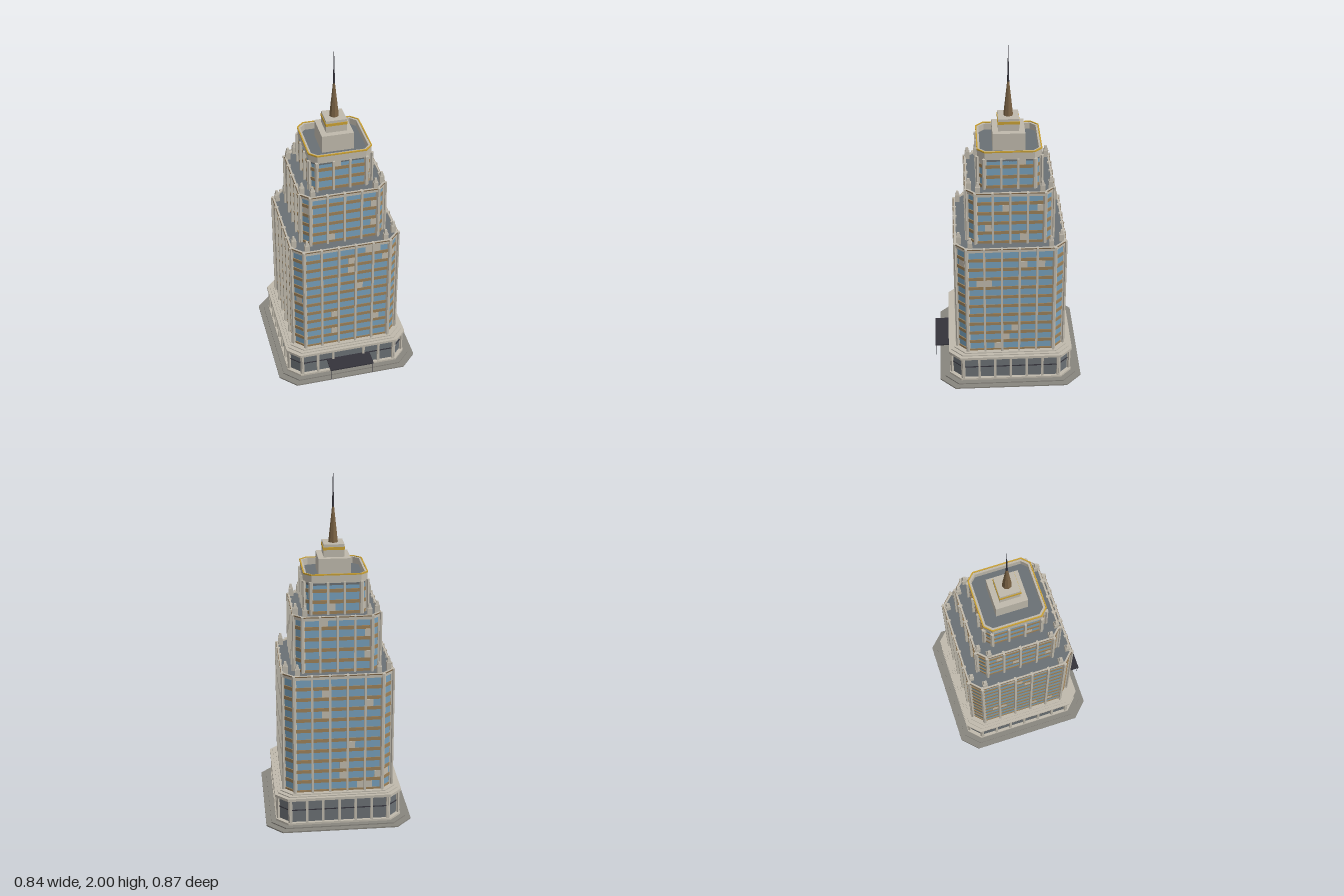
import * as THREE from 'three';

const mat = (name, color) => {
  const m = new THREE.MeshStandardMaterial({ color });
  m.name = name;
  return m;
};

export function createModel() {
  const stone = mat('pale stone', 0xbfb9ac);
  const paving = mat('grey paving', 0x88857e);
  const slate = mat('slate', 0x6a7074);
  const glass = mat('blue glass', 0x769fba);
  const bronze = mat('bronze spandrel', 0x9c8058);
  const darkBronze = mat('dark bronze', 0x7a6244);
  const gold = mat('gold', 0xc9a034);
  const dark = mat('dark metal', 0x34333b);

  const model = new THREE.Group();
  model.name = 'tower';
  const body = new THREE.Group();
  body.name = 'building';
  body.position.z = -0.0175;
  model.add(body);

  const add = (parent, name, geo, material, x, y, z) => {
    const m = new THREE.Mesh(geo, material);
    m.name = name;
    m.position.set(x, y, z);
    parent.add(m);
    return m;
  };
  const box = (parent, name, w, h, d, material, x, y, z) =>
    add(parent, name, new THREE.BoxGeometry(w, h, d), material, x, y, z);

  // Square with chamfered corners: half width h, chamfer c
  const outline = (h, c) => {
    const points = [];
    for (let k = 0; k < 4; k++) {
      for (const y of [c - h, h - c]) {
        points.push(new THREE.Vector2(h, y).rotateAround(new THREE.Vector2(), k * Math.PI / 2));
      }
    }
    return points;
  };
  // Chamfered slab, or a ring when an inner half width is given
  const prism = (name, h, c, y0, y1, material, inner = 0) => {
    const shape = new THREE.Shape(outline(h, c));
    if (inner) shape.holes.push(new THREE.Path(outline(inner, c - (h - inner) * 0.586)));
    const geo = new THREE.ExtrudeGeometry(shape, { depth: y1 - y0, bevelEnabled: false });
    add(body, name, geo.rotateX(-Math.PI / 2), material, 0, y0, 0);
  };

  // Calls fn(group, face index, half length) for 8 walls; local +z points outwards
  const eachFace = (name, h, c, fn) => {
    for (let i = 0; i < 8; i++) {
      const diagonal = i % 2 === 1;
      const a = i * Math.PI / 4;
      const r = diagonal ? (2 * h - c) / Math.SQRT2 : h;
      const g = new THREE.Group();
      g.name = name;
      g.rotation.y = a;
      g.position.set(Math.sin(a) * r, 0, Math.cos(a) * r);
      body.add(g);
      fn(g, i, diagonal ? c / Math.SQRT2 : h - c);
    }
  };

  // Stepped paving and podium
  prism('lowerStep', 0.42, 0.09, 0, 0.008, paving);
  prism('upperStep', 0.39, 0.08, 0.008, 0.015, paving);
  prism('plinth', 0.362, 0.067, 0.015, 0.027, stone);
  prism('podiumWall', 0.345, 0.065, 0.027, 0.17, slate);
  prism('podiumCornice', 0.365, 0.068, 0.168, 0.184, stone);
  prism('podiumLedge', 0.348, 0.066, 0.184, 0.19, stone);
  prism('podiumUpperLedge', 0.332, 0.066, 0.19, 0.196, stone);
  eachFace('podiumFace', 0.345, 0.065, (g, i, half) => {
    const bays = i % 2 ? 1 : 6;
    for (let k = 0; k <= bays; k++) {
      if (i === 0 && k === 3) continue; // leave room for the door
      box(g, 'podiumPilaster', 0.014, 0.142, 0.02, stone, (k / bays * 2 - 1) * half, 0.098, 0.004);
    }
    box(g, 'podiumRail', half * 2, 0.005, 0.006, dark, 0, 0.103, 0.001);
  });

  // Entrance and canopy
  box(body, 'doorFrame', 0.15, 0.07, 0.012, dark, 0, 0.06, 0.348);
  for (const s of [-1, 1]) {
    box(body, 'doorLeaf', 0.052, 0.052, 0.008, stone, s * 0.028, 0.053, 0.353);
    const post = new THREE.CylinderGeometry(0.0015, 0.0015, 0.075, 6);
    add(body, 'canopyPost', post, dark, s * 0.125, 0.0645, 0.442);
  }
  box(body, 'canopy', 0.264, 0.008, 0.1, dark, 0, 0.104, 0.3975);

  // One tier: glass core, spandrels per storey, pilasters per bay, some pale panes.
  // lit maps a face index to [pane column, storey] pairs, two columns per bay.
  const storey = 0.0636;
  const tier = (h, c, y0, y1, firstBand, storeys, bayCount, span, lit) => {
    prism('glassWall', h, c, y0, y1 - 0.02, glass);
    for (let f = 0; f < storeys; f++) {
      const y = firstBand + f * storey;
      prism('spandrel', h + 0.004, c, y - 0.01, y + 0.01, bronze, h - 0.01);
    }
    eachFace('tierFace', h, c, (g, i, half) => {
      const bays = i % 2 ? 1 : bayCount;
      const reach = i % 2 ? half : span;
      for (let k = 0; k <= bays; k++) {
        box(g, 'pilaster', 0.012, y1 - y0, 0.024, stone, (k / bays * 2 - 1) * reach, (y0 + y1) / 2, 0.006);
      }
      // Opposite faces repeat the pattern upside down
      const flip = i > 2 && i < 7;
      for (const [column, f] of lit[flip ? i - 4 : i] ?? []) {
        const row = flip ? storeys - 1 - f : f;
        const x = i % 2 ? 0 : ((column + 0.5) / bays - 1) * reach;
        box(g, 'palePane', 0.038, 0.042, 0.006, stone, x, firstBand + (row + 0.5) * storey, 0.001);
      }
    });
  };

  // Roof, parapet and paired corner pinnacles on a setback
  const setback = (h, c, y, px, pz) => {
    prism('roof', h, c, y - 0.025, y - 0.01, slate);
    prism('parapet', h + 0.01, c + 0.006, y - 0.024, y, stone, h);
    prism('parapetTrim', h + 0.012, c + 0.006, y - 0.007, y - 0.002, darkBronze, h + 0.005);
    for (const sx of [-1, 1]) for (const sz of [-1, 1]) for (const [x, z] of [[px, pz], [pz, px]]) {
      box(body, 'pinnacleBase', 0.027, 0.05, 0.027, stone, sx * x, y + 0.01, sz * z);
      const cap = new THREE.CylinderGeometry(0.008, 0.015, 0.025, 4, 1).toNonIndexed();
      cap.rotateY(Math.PI / 4).computeVertexNormals();
      add(body, 'pinnacleCap', cap, stone, sx * x, y + 0.0475, sz * z);
    }
  };

  tier(0.305, 0.06, 0.19, 0.915, 0.198, 11, 5, 0.25, {
    0: [[5, 9], [5, 8], [6, 6], [3, 3], [3, 1], [8, 2], [7, 10], [8, 10], [9, 9]],
    1: [[0, 9]],
    2: [[1, 7], [2, 7], [3, 0], [4, 1], [5, 2], [6, 9], [8, 9]],
    7: [[0, 5]],
  });
  setback(0.305, 0.06, 0.915, 0.291, 0.2285);
  tier(0.236, 0.048, 0.9, 1.235, 0.91, 5, 4, 0.195, {
    0: [[7, 3], [7, 1], [2, 0]],
    2: [[3, 3], [7, 3], [1, 1], [5, 0]],
    7: [[0, 3]],
  });
  setback(0.236, 0.048, 1.235, 0.228, 0.179);
  tier(0.17, 0.034, 1.222, 1.412, 1.232, 3, 3, 0.14, {
    0: [[2, 2]],
    1: [[0, 2]],
    2: [[4, 2]],
  });

  // Crown with an open parapet and gold rim
  prism('crownRoof', 0.17, 0.034, 1.39, 1.415, slate);
  prism('crownParapet', 0.177, 0.04, 1.405, 1.453, stone, 0.162);
  prism('crownRim', 0.18, 0.041, 1.449, 1.457, gold, 0.173);
  box(body, 'crownBlock', 0.18, 0.11, 0.18, stone, 0, 1.463, 0);
  box(body, 'spireBase', 0.116, 0.075, 0.116, stone, 0, 1.553, 0);
  box(body, 'goldBand', 0.122, 0.016, 0.122, gold, 0, 1.567, 0);

  // Faceted spire
  const facets = (name, r0, r1, y0, y1, material) => {
    const geo = new THREE.CylinderGeometry(r1, r0, y1 - y0, 8).toNonIndexed();
    geo.computeVertexNormals();
    add(body, name, geo, material, 0, (y0 + y1) / 2, 0);
  };
  facets('spire', 0.027, 0.006, 1.59, 1.79, darkBronze);
  facets('needle', 0.006, 0.0005, 1.79, 2, dark);
  return model;
}
